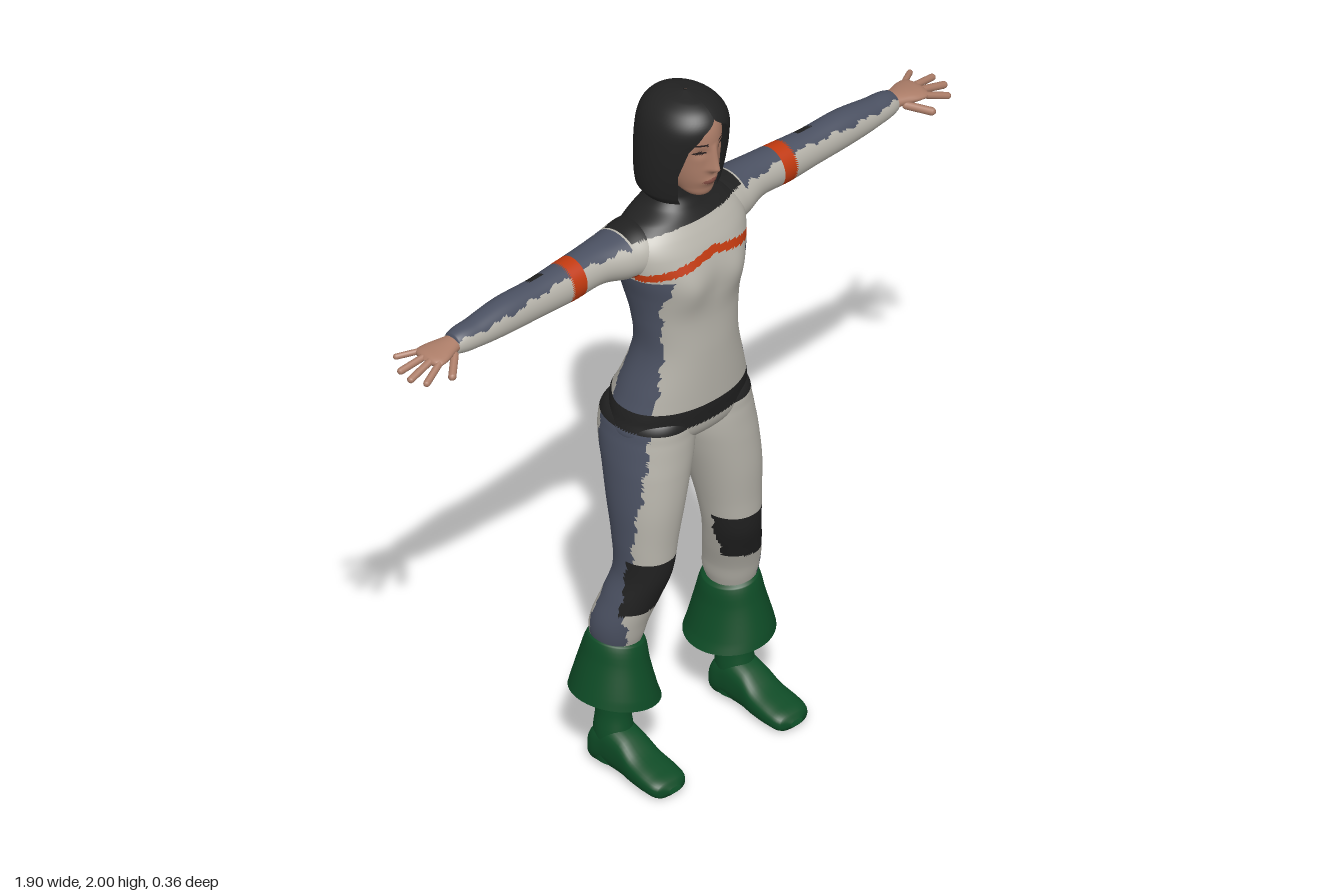
import * as THREE from 'three';

const mat = (name, color, side = THREE.FrontSide) => {
  const m = new THREE.MeshStandardMaterial({ color, side });
  m.name = name;
  return m;
};
const lerpTable = (table, t) => {
  if (t <= table[0][0]) return table[0][1];
  for (let i = 1; i < table.length; i++) {
    const [a, va] = table[i - 1], [b, vb] = table[i];
    if (t <= b) return va + (vb - va) * (t - a) / (b - a);
  }
  return table[table.length - 1][1];
};
const gauss = (d, w) => Math.exp(-(d * d) / (w * w));

// Smooth curve through rows of [t, ...values], several steps per row
function smoothRows(rows, steps) {
  const slope = (i, k) => {
    const a = rows[Math.max(i - 1, 0)], b = rows[Math.min(i + 1, rows.length - 1)];
    return (b[k] - a[k]) / (b[0] - a[0]);
  };
  const out = [];
  for (let i = 0; i < rows.length - 1; i++) {
    const h = rows[i + 1][0] - rows[i][0];
    for (let s = 0; s < steps; s++) {
      const u = s / steps, u2 = u * u, u3 = u2 * u;
      out.push(rows[i].map((v, k) => k === 0 ? v + u * h :
        (2 * u3 - 3 * u2 + 1) * v + (u3 - 2 * u2 + u) * h * slope(i, k) +
        (3 * u2 - 2 * u3) * rows[i + 1][k] + (u3 - u2) * h * slope(i + 1, k)));
    }
  }
  out.push(rows[rows.length - 1]);
  return out;
}

// Loft of rounded sections along an axis. Rows: [t, aMin, aMax, bMin, bMax],
// (a, b) = (x, z) along y, (z, y) along x, (y, x) along z.
function loft(name, mats, rows, { axis = 'y', steps = 8, segs = 48, pow = 1, open, warp, pick } = {}) {
  const list = smoothRows(rows, steps), pos = [];
  const cols = open ? segs + 1 : segs;
  const bend = v => Math.sign(v) * Math.abs(v) ** pow;
  for (const [t, a0, a1, b0, b1] of list) {
    const gap = open ? open(t) : 0;
    for (let j = 0; j < cols; j++) {
      const ang = Math.PI / 2 + gap + (j / segs) * (2 * Math.PI - 2 * gap);
      const a = (a0 + a1) / 2 + bend(Math.cos(ang)) * (a1 - a0) / 2;
      const b = (b0 + b1) / 2 + bend(Math.sin(ang)) * (b1 - b0) / 2;
      const p = axis === 'y' ? [a, t, b] : axis === 'x' ? [t, b, a] : [b, a, t];
      pos.push(...(warp ? warp(...p) : p));
    }
  }
  const buckets = mats.map(() => []);
  const face = (...ids) => {
    const c = [0, 1, 2].map(k => ids.reduce((s, i) => s + pos[i * 3 + k] / 3, 0));
    buckets[pick ? pick(...c) : 0].push(...ids);
  };
  for (let i = 0; i < list.length - 1; i++) for (let j = 0; j < segs; j++) {
    const p = i * cols + j, q = i * cols + (j + 1) % cols;
    face(p, p + cols, q);
    face(q, p + cols, q + cols);
  }
  const g = new THREE.BufferGeometry();
  g.setAttribute('position', new THREE.Float32BufferAttribute(pos, 3));
  g.setIndex(buckets.flat());
  let start = 0;
  buckets.forEach((b, k) => { if (b.length) g.addGroup(start, b.length, k); start += b.length; });
  g.computeVertexNormals();
  const mesh = new THREE.Mesh(g, mats.length > 1 ? mats : mats[0]);
  mesh.name = name;
  return mesh;
}

// Rounded finger between two points
function finger(name, material, a, b, r) {
  const A = new THREE.Vector3(...a), B = new THREE.Vector3(...b), d = B.clone().sub(A);
  const g = new THREE.CapsuleGeometry(r, d.length() - r, 4, 10);
  g.applyQuaternion(new THREE.Quaternion().setFromUnitVectors(new THREE.Vector3(0, 1, 0), d.normalize()));
  g.translate(...A.add(B).multiplyScalar(0.5).toArray());
  const mesh = new THREE.Mesh(g, material);
  mesh.name = name;
  return mesh;
}

// Copy of a mesh on the other side of x = 0
function mirrored(mesh) {
  const g = mesh.geometry.clone().scale(-1, 1, 1), ix = g.index.array;
  for (let i = 0; i < ix.length; i += 3) [ix[i], ix[i + 1]] = [ix[i + 1], ix[i]];
  const m = new THREE.Mesh(g, mesh.material);
  m.name = mesh.name.replace('left', 'right');
  return m;
}

export function createModel() {
  const model = new THREE.Group();
  model.name = 'figure';
  const suit = [mat('suitGrey', 0xb6b3aa), mat('suitSlate', 0x4b5162), mat('suitBlack', 0x212121), mat('suitOrange', 0xc23a10)];
  const [GREY, SLATE, BLACK, ORANGE] = [0, 1, 2, 3];
  const skin = mat('skin', 0xac7d68), lips = mat('lips', 0x8a5348), lash = mat('lash', 0x2a2020);
  const hairMat = mat('hair', 0x222222, THREE.DoubleSide);
  const green = mat('bootGreen', 0x0e4b26, THREE.DoubleSide);
  const wobble = t => 0.004 * Math.sin(t * 61) + 0.003 * Math.sin(t * 143);

  // Suit colours
  const collarOrStripe = (x, y, z) => {
    const ax = Math.abs(x);
    if (y > 1.613 + 0.3 * Math.max(z, 0) && ax < 0.195) return BLACK;
    if (z > 0.005 && ax < 0.2 && Math.abs(y - Math.max(1.553 - 0.22 * ax, 1.515)) < 0.011) return ORANGE;
    if (z < -0.08 && ax < 0.165 && Math.abs(y - 1.535) < 0.01) return ORANGE;
    return GREY;
  };
  const torsoColour = (x, y, z) => {
    if (y > 1.033 && y < 1.09) return BLACK;
    const front = 0.05 + Math.max(0, y - 1.4) * 0.4 + wobble(y);
    if (y < 1.5 && Math.abs(x) > 0.09 && z < front && z > -0.09 - Math.max(0, y - 1.38) * 0.3 + wobble(y + 1)) return SLATE;
    return collarOrStripe(x, y, z);
  };
  const legFront = [[0.4, 0.02], [0.7, 0.035], [0.9, 0.055], [1.05, 0.05]];
  const legBack = [[0.4, -0.085], [0.7, -0.062], [0.9, -0.115], [1.05, -0.12]];
  const legCentre = [[0.4, 0.2], [0.6, 0.16], [1, 0.11]];
  const legColour = (x, y, z) => {
    if (y > 1.033) return BLACK;
    if (y > 0.495 + (0.2 - x) * 0.1 && y < 0.648 && z > 0.012 + wobble(y)) return BLACK;
    const outer = x > lerpTable(legCentre, y);
    return outer && z < lerpTable(legFront, y) + wobble(y) && z > lerpTable(legBack, y) + wobble(y + 2) ? SLATE : GREY;
  };
  const armColour = (x, y, z) => {
    if (x > 0.352 && x < 0.394) return ORANGE;
    if (Math.abs(x - 0.475) < 0.025 && z < -0.058 && y > 1.555) return BLACK;
    if (x < 0.2) return collarOrStripe(x, y, z);
    return y > 1.603 - Math.max(0, x - 0.4) * 0.06 + wobble(x) ? SLATE : GREY;
  };

  // Torso with bust, spine groove and seat
  const sym = rows => rows.map(([y, w, b, f]) => [y, -w, w, b, f]);
  model.add(loft('torso', suit, sym([
    [0.95, 0.1, -0.1, 0.04], [1.0, 0.2, -0.145, 0.088], [1.06, 0.2, -0.16, 0.102], [1.12, 0.184, -0.15, 0.106],
    [1.25, 0.147, -0.115, 0.108], [1.35, 0.153, -0.122, 0.106], [1.43, 0.168, -0.146, 0.11], [1.5, 0.188, -0.153, 0.11],
    [1.56, 0.197, -0.15, 0.094], [1.6, 0.185, -0.142, 0.073], [1.635, 0.145, -0.128, 0.048], [1.66, 0.09, -0.118, 0.032],
    [1.69, 0.064, -0.1, 0.018], [1.76, 0.052, -0.09, 0.02]]), {
    steps: 10, segs: 104, pow: 0.92, pick: torsoColour,
    warp: (x, y, z) => {
      const ax = Math.abs(x);
      if (z > 0.02) z += 0.016 * gauss(ax - 0.08, 0.05) * gauss(y - 1.46, 0.06);
      if (z < -0.06) z += 0.012 * gauss(x, 0.025) * gauss(y - 1.38, 0.17) + gauss(y - 1.05, 0.06) * (0.022 * gauss(x, 0.03) - 0.022 * gauss(ax - 0.1, 0.05));
      return [x, y, z];
    } }));

  // Head with nose, eyes, brows and mouth
  const headColour = (x, y, z) => {
    const ax = Math.abs(x);
    if (z < 0.04) return 0;
    if (Math.hypot((ax - 0.036) / 0.016, (y - 1.862) / 0.005) < 1) return 2;
    if (Math.abs(ax - 0.038) < 0.02 && Math.abs(y - 1.888 + 6 * (ax - 0.038) ** 2) < 0.003) return 2;
    return Math.hypot(x / 0.025, (y - 1.767) / 0.0085) < 1 ? 1 : 0;
  };
  model.add(loft('head', [skin, lips, lash], sym([
    [1.708, 0.012, 0.03, 0.06], [1.72, 0.035, 0, 0.078], [1.745, 0.052, -0.05, 0.086], [1.78, 0.066, -0.09, 0.095],
    [1.83, 0.077, -0.11, 0.098], [1.88, 0.081, -0.12, 0.103], [1.93, 0.078, -0.12, 0.096], [1.965, 0.06, -0.1, 0.07],
    [1.985, 0.02, -0.04, 0.03]]), {
    steps: 10, segs: 96, pick: headColour,
    warp: (x, y, z) => {
      if (z > 0.03) {
        const ramp = y < 1.81 ? gauss(y - 1.81, 0.012) : Math.max(0, 1 - (y - 1.81) / 0.075);
        z += 0.026 * gauss(x, 0.008 + 0.006 * ramp) * ramp + 0.007 * gauss(x, 0.025) * gauss(y - 1.767, 0.012);
        z -= 0.007 * gauss(Math.abs(x) - 0.034, 0.016) * gauss(y - 1.862, 0.014);
      }
      return [x, y, z];
    } }));

  // Chin-length hair, parted around the face
  const gapTable = [[1.7, 0.72], [1.8, 0.8], [1.88, 0.66], [1.93, 0.36], [1.957, 0]];
  model.add(loft('hair', [hairMat], sym([
    [1.698, 0.098, -0.125, 0.068], [1.72, 0.112, -0.138, 0.075], [1.8, 0.12, -0.143, 0.095], [1.88, 0.117, -0.143, 0.11],
    [1.93, 0.107, -0.135, 0.114], [1.965, 0.085, -0.112, 0.096], [1.988, 0.05, -0.072, 0.06], [2.0, 0.004, -0.012, 0]]), {
    steps: 6, segs: 56, open: y => lerpTable(gapTable, y) }));

  const left = [];
  left.push(loft('leftLeg', suit, [
    [0.33, 0.16, 0.25, -0.09, 0], [0.4, 0.135, 0.268, -0.12, 0.025], [0.45, 0.125, 0.268, -0.115, 0.038],
    [0.52, 0.105, 0.25, -0.095, 0.06], [0.6, 0.085, 0.228, -0.078, 0.083], [0.7, 0.065, 0.228, -0.09, 0.09],
    [0.8, 0.04, 0.23, -0.115, 0.097], [0.9, 0.01, 0.225, -0.145, 0.097], [0.95, -0.005, 0.22, -0.165, 0.095],
    [1.0, -0.01, 0.212, -0.176, 0.092], [1.05, -0.005, 0.198, -0.166, 0.085], [1.08, 0.02, 0.16, -0.125, 0.05],
    [1.1, 0.07, 0.12, -0.05, 0]], { steps: 8, segs: 72, pow: 0.95, pick: legColour }));
  left.push(loft('leftArm', suit, [
    [0.06, -0.115, 0.02, 1.535, 1.63], [0.14, -0.135, 0.04, 1.49, 1.638], [0.2, -0.13, 0.028, 1.495, 1.628],
    [0.28, -0.115, 0.005, 1.512, 1.624], [0.38, -0.108, 0, 1.506, 1.62], [0.48, -0.1, -0.004, 1.51, 1.616],
    [0.6, -0.1, -0.005, 1.514, 1.616], [0.7, -0.092, -0.01, 1.523, 1.604], [0.775, -0.084, -0.022, 1.534, 1.592],
    [0.785, -0.06, -0.04, 1.555, 1.57]], { axis: 'x', steps: 10, segs: 64, pick: armColour }));

  // Hand: palm, four fingers and thumb
  left.push(loft('leftPalm', [skin], [
    [0.765, -0.078, -0.028, 1.542, 1.585], [0.8, -0.088, -0.018, 1.545, 1.582], [0.84, -0.1, -0.006, 1.545, 1.577],
    [0.868, -0.095, -0.01, 1.547, 1.571], [0.878, -0.06, -0.04, 1.556, 1.562]], { axis: 'x', steps: 5, segs: 24 }));
  [['Index', [0.855, 1.56, -0.017], [0.925, 1.535, 0.004], 0.0095], ['Middle', [0.86, 1.561, -0.04], [0.947, 1.54, -0.033], 0.01],
    ['Ring', [0.86, 1.561, -0.063], [0.944, 1.545, -0.074], 0.0095], ['Little', [0.85, 1.56, -0.087], [0.912, 1.55, -0.125], 0.008],
    ['Thumb', [0.795, 1.555, -0.025], [0.852, 1.53, 0.024], 0.011]]
    .forEach(([n, a, b, r]) => left.push(finger('left' + n, skin, a, b, r)));

  // Boot: flared cuff, shaft and foot
  left.push(loft('leftBootCuff', [green], [
    [0.21, 0.088, 0.318, -0.178, 0.072], [0.24, 0.1, 0.31, -0.17, 0.066], [0.32, 0.12, 0.288, -0.148, 0.045],
    [0.38, 0.13, 0.273, -0.128, 0.03], [0.39, 0.145, 0.258, -0.115, 0.018]],
    { steps: 4, segs: 48, warp: (x, y, z) => [x, y + (x - 0.2) * 0.14, z] }));
  left.push(loft('leftBootShaft', [green], [
    [0.02, 0.165, 0.265, -0.1, 0.02], [0.1, 0.165, 0.265, -0.1, 0.012], [0.16, 0.17, 0.256, -0.096, 0.002],
    [0.24, 0.166, 0.254, -0.097, 0.003], [0.37, 0.155, 0.255, -0.105, 0.01]], { steps: 5, segs: 36 }));
  left.push(loft('leftBootFoot', [green], [
    [-0.102, 0.025, 0.055, 0.195, 0.23], [-0.092, 0, 0.1, 0.167, 0.262], [-0.04, 0, 0.13, 0.162, 0.267],
    [0.02, 0, 0.115, 0.162, 0.268], [0.07, 0, 0.08, 0.157, 0.273], [0.13, 0, 0.06, 0.156, 0.276],
    [0.168, 0, 0.047, 0.166, 0.266], [0.182, 0.012, 0.03, 0.195, 0.235]],
    { axis: 'z', steps: 5, segs: 32, pow: 0.75, warp: (x, y, z) => [x, Math.max(y, 0), z] }));

  left.forEach(m => model.add(m, mirrored(m)));
  return model;
}
